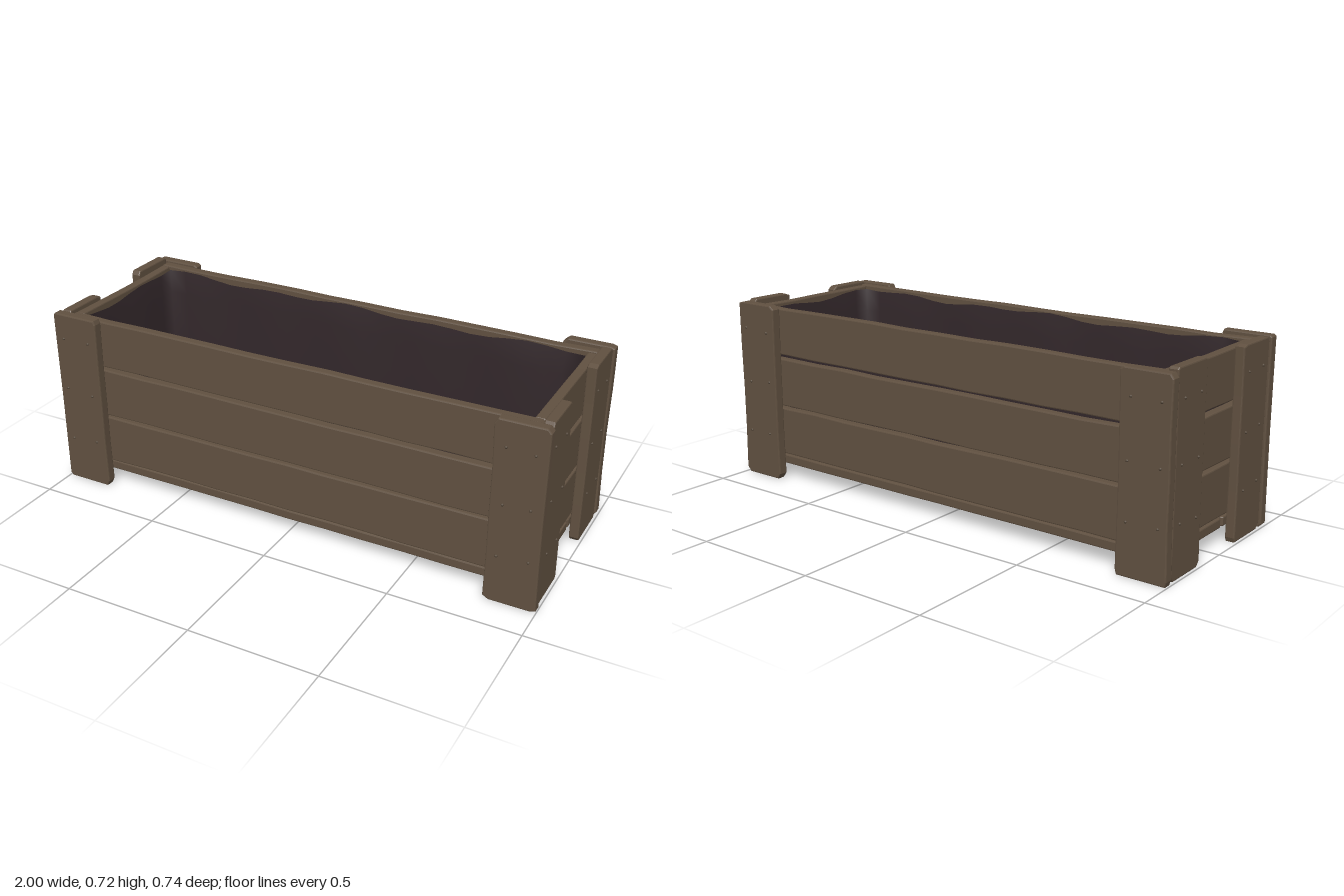
import * as THREE from 'three';

const wood = new THREE.MeshStandardMaterial({ name: 'agedWood', color: 0x605040 });
const nailMetal = new THREE.MeshStandardMaterial({ name: 'nailMetal', color: 0x544739 });
const cloth = new THREE.MeshStandardMaterial({ name: 'darkLiner', color: 0x32272a, side: THREE.DoubleSide });

// Small seeded noise
function seeded(seed) {
  let s = seed;
  return () => (s = (s * 16807) % 2147483647) / 2147483647;
}

// Worn plank in the xy plane: wavy edges, clipped corners and a bevel all round
function plankGeometry(w, h, d, seed, wear) {
  const rnd = seeded(seed * 7919 + 13);
  rnd();
  const hw = w / 2, hh = h / 2, pts = [];
  const corners = [[-hw, -hh], [hw, -hh], [hw, hh], [-hw, hh]];
  corners.forEach(([ax, ay], i) => {
    const [bx, by] = corners[(i + 1) % 4];
    const len = Math.hypot(bx - ax, by - ay);
    const ux = (bx - ax) / len, uy = (by - ay) / len;
    const c0 = 0.005 + rnd() * wear, c1 = len - 0.005 - rnd() * wear;
    const n = Math.max(1, Math.round(len / 0.16));
    for (let k = 0; k <= n; k++) {
      const t = c0 + (c1 - c0) * k / n;
      const inset = k === 0 || k === n ? 0 : rnd() * 0.004;
      pts.push(new THREE.Vector2(ax + ux * t - uy * inset, ay + uy * t + ux * inset));
    }
  });
  const bevel = 0.005;
  const g = new THREE.ExtrudeGeometry(new THREE.Shape(pts), {
    depth: d - 2 * bevel, bevelEnabled: true, bevelSegments: 2,
    bevelSize: bevel, bevelThickness: bevel, bevelOffset: -bevel,
  });
  return g.translate(0, 0, bevel - d / 2);
}

let seed = 1;
function plank(name, w, h, d, wear = 0.006) {
  const m = new THREE.Mesh(plankGeometry(w, h, d, seed++, wear), wood);
  m.name = name;
  return m;
}

// Corner board standing on the ground, with six nails on its +z face
const nailGeometry = new THREE.SphereGeometry(0.0055, 8, 6);
function cornerBoard(name, w, h, d) {
  const g = new THREE.Group();
  g.name = name;
  const board = plank(name + 'Plank', w, h, d, 0.018);
  board.position.y = h / 2;
  g.add(board);
  const rnd = seeded(seed * 331);
  rnd();
  for (const y of [0.19, 0.4, 0.612]) for (const s of [-1, 1]) {
    const nail = new THREE.Mesh(nailGeometry, nailMetal);
    nail.name = 'nail';
    nail.position.set(s * 0.055 + (rnd() - 0.5) * 0.015, y + (rnd() - 0.5) * 0.014, d / 2);
    g.add(nail);
  }
  return g;
}

// Cloth liner: rectangular rings running down the walls and across the floor
function linerGeometry() {
  const rings = [[0, 0.685], [0.004, 0.6], [0.006, 0.4], [0.012, 0.22], [0.03, 0.135], [0.08, 0.108], [0.17, 0.104], [0.284, 0.104]];
  const nx = 24, nz = 8, path = [];
  for (let i = 0; i < nx; i++) path.push([-1 + 2 * i / nx, 1]);
  for (let i = 0; i < nz; i++) path.push([1, 1 - 2 * i / nz]);
  for (let i = 0; i < nx; i++) path.push([1 - 2 * i / nx, -1]);
  for (let i = 0; i < nz; i++) path.push([-1, -1 + 2 * i / nz]);
  const pos = [], idx = [], n = path.length;
  rings.forEach(([inset, y], r) => path.forEach(([px, pz], i) => {
    const fold = Math.sin(i * 1.3) + Math.sin(i * 0.57 + 1);
    const pull = inset + (r > 0 && r < 6 ? 0.003 * (fold + 2) : 0);
    const rise = r === 0 ? 0.006 * fold : r > 3 && r < 7 ? 0.003 * fold : 0;
    pos.push(px * (0.908 - pull), y + rise, pz * (0.287 - pull));
    if (r) {
      const j = (i + 1) % n, a = (r - 1) * n, b = r * n;
      idx.push(a + i, b + i, a + j, a + j, b + i, b + j);
    }
  }));
  const g = new THREE.BufferGeometry();
  g.setAttribute('position', new THREE.Float32BufferAttribute(pos, 3));
  g.setIndex(idx);
  g.computeVertexNormals();
  return g;
}

export function createModel() {
  const crate = new THREE.Group();
  crate.name = 'woodenPlanterCrate';

  // Three boards on every wall: [bottom, top]
  const rows = [[0.098, 0.296], [0.302, 0.5], [0.512, 0.706]];
  for (const s of [1, -1]) {
    rows.forEach(([y0, y1]) => {
      const side = plank(s > 0 ? 'frontBoard' : 'backBoard', 1.9, y1 - y0, 0.036);
      side.position.set(0, (y0 + y1) / 2, s * 0.307);
      const end = plank(s > 0 ? 'leftEndBoard' : 'rightEndBoard', 0.578, y1 - y0 - 0.003, 0.036);
      end.position.set(s * 0.93, (y0 + y1) / 2 - 0.002, 0);
      end.rotation.y = s * Math.PI / 2;
      crate.add(side, end);
    });
  }

  // Floor boards
  for (const z of [-0.217, 0, 0.217]) {
    const floor = plank('floorBoard', 1.9, 0.207, 0.037);
    floor.position.set(0, 0.0755, z);
    floor.rotation.x = -Math.PI / 2;
    crate.add(floor);
  }

  // Corner boards: one on the long face and one on the end at each corner
  for (const sx of [-1, 1]) for (const sz of [-1, 1]) {
    const face = cornerBoard(sz > 0 ? 'frontCornerBoard' : 'backCornerBoard', 0.196, sx * sz < 0 ? 0.718 : 0.712, 0.038);
    face.position.set(sx * 0.9, 0, sz * 0.347);
    face.rotation.y = sz > 0 ? 0 : Math.PI;
    const end = cornerBoard(sx > 0 ? 'leftCornerBoard' : 'rightCornerBoard', 0.195, sz > 0 ? 0.715 : 0.724, 0.038);
    end.position.set(sx * 0.972, 0, sz * 0.227);
    end.rotation.y = sx * Math.PI / 2;
    crate.add(face, end);
  }

  const liner = new THREE.Mesh(linerGeometry(), cloth);
  liner.name = 'clothLiner';
  crate.add(liner);
  return crate;
}
